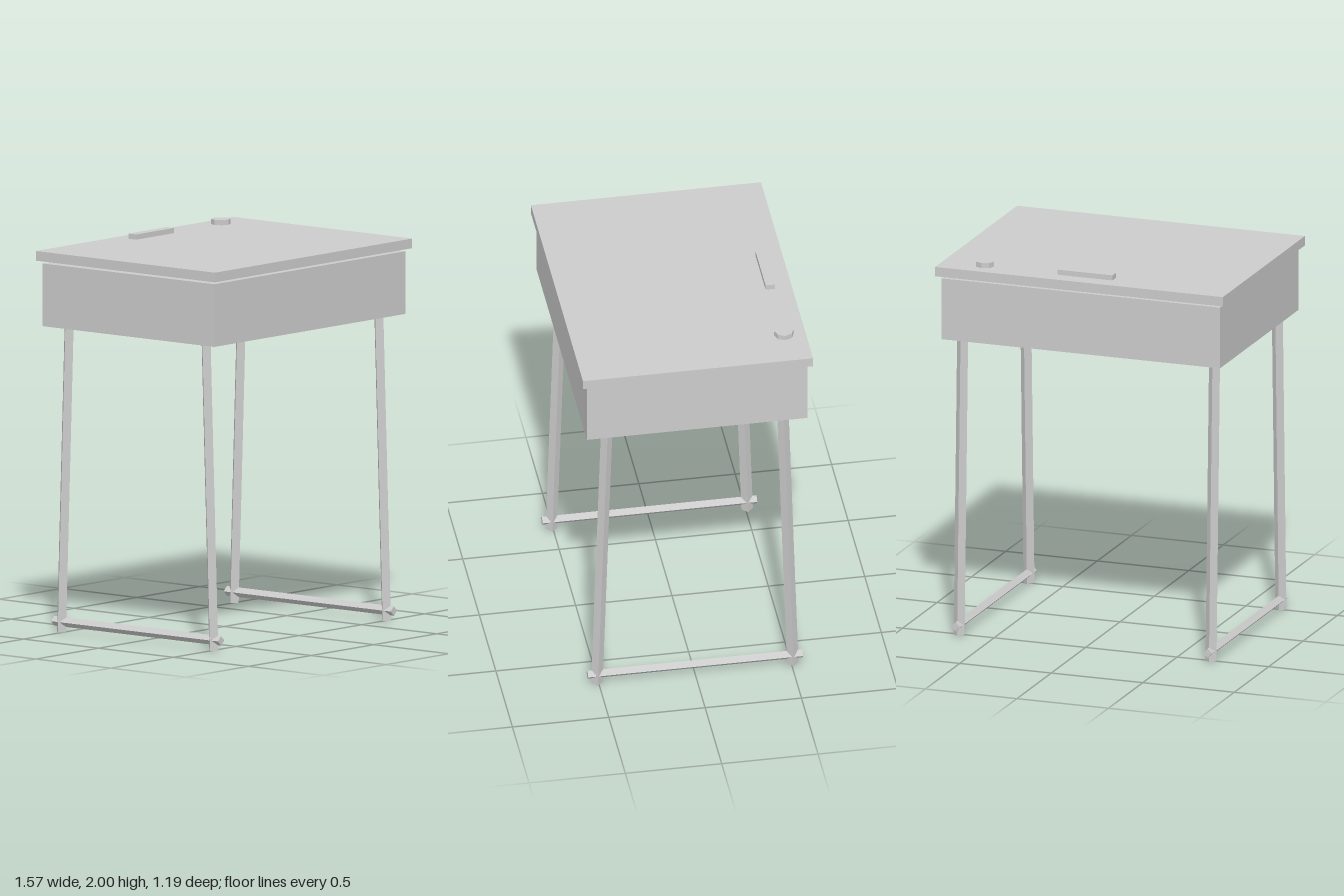
import * as THREE from 'three';

const material = new THREE.MeshStandardMaterial({ color: 0xcccccc, flatShading: true });

export function createModel() {
  const desk = new THREE.Group();
  desk.name = 'schoolDesk';

  const add = (name, geometry, x, y, z) => {
    const mesh = new THREE.Mesh(geometry, material);
    mesh.name = name;
    mesh.position.set(x, y, z);
    desk.add(mesh);
    return mesh;
  };

  // Four-sided rod between two points
  const rod = (name, from, to, radius) => {
    const dir = to.clone().sub(from);
    const mid = from.clone().add(to).multiplyScalar(0.5);
    const mesh = add(name, new THREE.CylinderGeometry(radius, radius, dir.length(), 4), mid.x, mid.y, mid.z);
    mesh.rotation.x = Math.atan2(dir.z, dir.y);
  };

  // Lid floats slightly above the storage box
  add('lid', new THREE.BoxGeometry(1.572, 0.05, 1.194), 0, 1.948, 0);
  add('storageBox', new THREE.BoxGeometry(1.522, 0.324, 1.144), 0, 1.746, 0);

  // Fittings along the back of the lid
  add('pencilRest', new THREE.BoxGeometry(0.3, 0.03, 0.05), 0, 1.985, -0.485);
  add('inkwell', new THREE.CylinderGeometry(0.05, 0.05, 0.03, 8), 0.555, 1.985, -0.485);

  // Splayed legs, joined by a foot bar on each side
  for (const side of [1, -1]) {
    const x = side * 0.688;
    const sideName = side > 0 ? 'left' : 'right';
    for (const end of [1, -1]) {
      rod(`${sideName}${end > 0 ? 'Front' : 'Back'}Leg`,
        new THREE.Vector3(x, 0.001, end * 0.508), new THREE.Vector3(x, 1.585, end * 0.457), 0.03);
    }
    rod(`${sideName}FootBar`,
      new THREE.Vector3(x, 0.055, -0.557), new THREE.Vector3(x, 0.055, 0.557), 0.025);
  }
  return desk;
}
